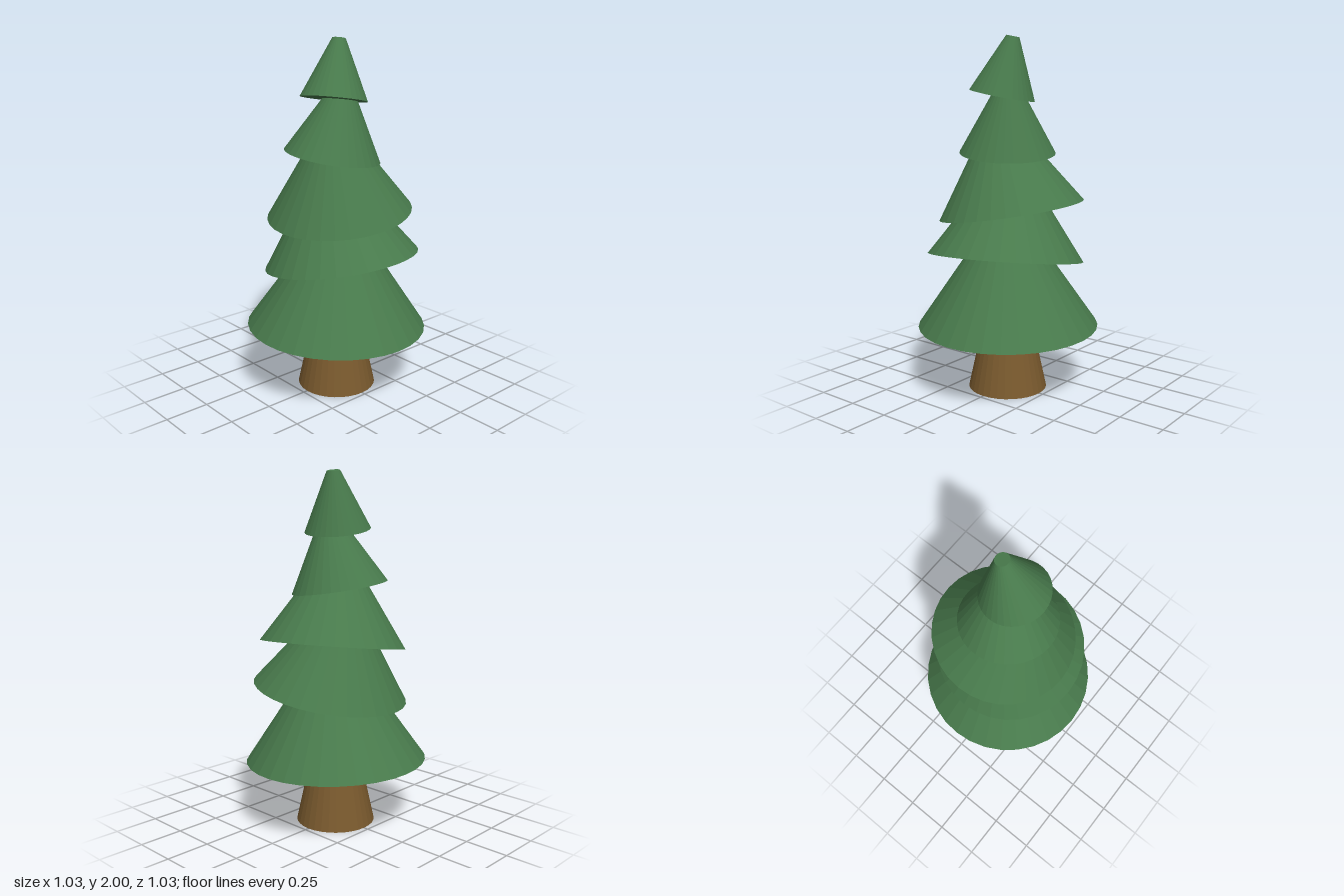
import * as THREE from 'three';

const SIDES = 32;
const UP = new THREE.Vector3(0, 1, 0);

const foliage = new THREE.MeshStandardMaterial({ color: 0x487a4c, flatShading: true });
const bark = new THREE.MeshStandardMaterial({ color: 0x7a5a2e, flatShading: true });

// Truncated cone whose base is centred at `base`; slopeX and slopeZ tilt the base plane.
function cone(name, material, base, rBottom, rTop, height, slopeX = 0, slopeZ = 0) {
  const geometry = new THREE.CylinderGeometry(rTop, rBottom, height, SIDES);
  geometry.translate(0, height / 2, 0);
  const mesh = new THREE.Mesh(geometry, material);
  mesh.name = name;
  mesh.position.set(...base);
  mesh.quaternion.setFromUnitVectors(UP, new THREE.Vector3(-slopeX, 1, -slopeZ).normalize());
  return mesh;
}

export function createModel() {
  const tree = new THREE.Group();
  tree.name = 'pineTree';

  // Tapered trunk, its top hidden in the lowest branches
  tree.add(cone('trunk', bark, [0.003, 0, 0], 0.225, 0.12, 0.48));

  // Stacked branch tiers, each leaning its own way:
  // base centre, bottom radius, top radius, height, base slope in x and z
  const tiers = [
    [[0, 0.375, 0], 0.515, 0.1, 0.6, -0.027, 0.01],
    [[0.035, 0.77, -0.01], 0.44, 0.09, 0.5, 0.16, -0.045],
    [[0, 1.04, -0.025], 0.41, 0.08, 0.49, -0.05, -0.148],
    [[-0.015, 1.36, 0.015], 0.27, 0.054, 0.39, -0.113, 0.1],
    [[0.015, 1.675, 0.03], 0.185, 0.037, 0.325, 0.07, 0.18],
  ];
  tiers.forEach((tier, i) => tree.add(cone(`branchTier${i + 1}`, foliage, ...tier)));

  return tree;
}
